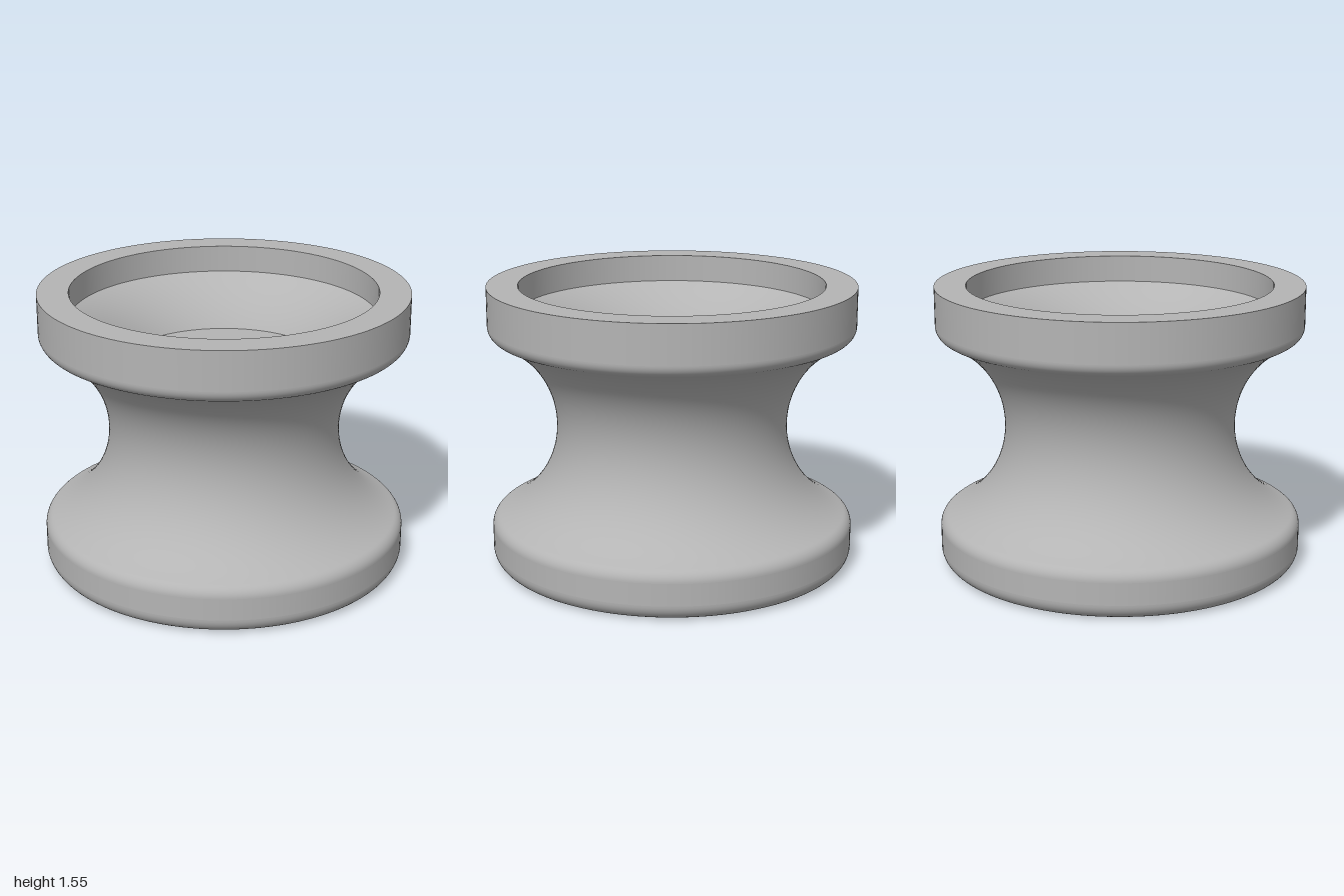
import * as THREE from 'three';

const HEIGHT = 1.55, MID = HEIGHT / 2;
const GROOVE_X = 1.18, GROOVE_R = 0.546, WALL = 0.17; // groove arc centre, radius, shell thickness
const ROUND = 0.07, FOOT = 0.09;                      // flange edge and foot fillets

// Points along an arc in the profile plane, from angle a to angle b
function arc(cx, cy, r, a, b, n) {
  return Array.from({ length: n + 1 }, (_, i) => {
    const t = a + (b - a) * i / n;
    return new THREE.Vector2(cx + r * Math.cos(t), cy + r * Math.sin(t));
  });
}

const line = (...pairs) => pairs.map(([x, y]) => new THREE.Vector2(x, y));

export function createModel() {
  const group = new THREE.Group();
  const material = new THREE.MeshStandardMaterial({ color: 0xb4b4b4 });
  material.name = 'plain grey';

  // Each smooth stretch of the profile is its own lathe, so edges between them stay sharp
  function turn(name, points) {
    const mesh = new THREE.Mesh(new THREE.LatheGeometry(points, 128), material);
    mesh.name = name;
    group.add(mesh);
  }

  // Flange fillets sit tangent to both the outer wall and the groove
  const dx = GROOVE_X - (1 - ROUND);
  const dy = Math.sqrt((GROOVE_R + ROUND) ** 2 - dx * dx);
  const tilt = Math.atan2(dy, dx);
  const low = MID - dy, high = MID + dy;

  // Outside, from the base upwards
  turn('base', line([0, 0], [1 - FOOT, 0]));
  turn('footEdge', arc(1 - FOOT, FOOT, FOOT, -Math.PI / 2, 0, 12));
  turn('lowerFlange', line([1, FOOT], [1, low]));
  turn('lowerFlangeEdge', arc(1 - ROUND, low, ROUND, 0, tilt, 12));
  turn('groovedWaist', arc(GROOVE_X, MID, GROOVE_R, Math.PI + tilt, Math.PI - tilt, 48));
  turn('upperFlangeEdge', arc(1 - ROUND, high, ROUND, -tilt, 0, 12));
  turn('upperFlange', line([1, high], [1, HEIGHT]));

  // Bowl, whose curved wall runs parallel to the groove
  const bore = 1 - WALL, bowlR = GROOVE_R + WALL, floorY = 1.135;
  const topAngle = Math.PI - Math.acos((GROOVE_X - bore) / bowlR);
  const floorAngle = Math.PI - Math.asin((floorY - MID) / bowlR);
  const bowl = arc(GROOVE_X, MID, bowlR, topAngle, floorAngle, 24);
  const floorR = bowl[24].x;
  turn('rim', line([1, HEIGHT], [bore, HEIGHT]));
  turn('rimInnerWall', line([bore, HEIGHT], [bore, bowl[0].y]));
  turn('bowlWall', bowl);
  turn('bowlFloor', line([floorR, floorY], [0.24, floorY]));

  // Blind centre hole
  turn('holeWall', line([0.24, floorY], [0.24, 0.35]));
  turn('holeFloor', line([0.24, 0.35], [0, 0.35]));

  return group;
}
